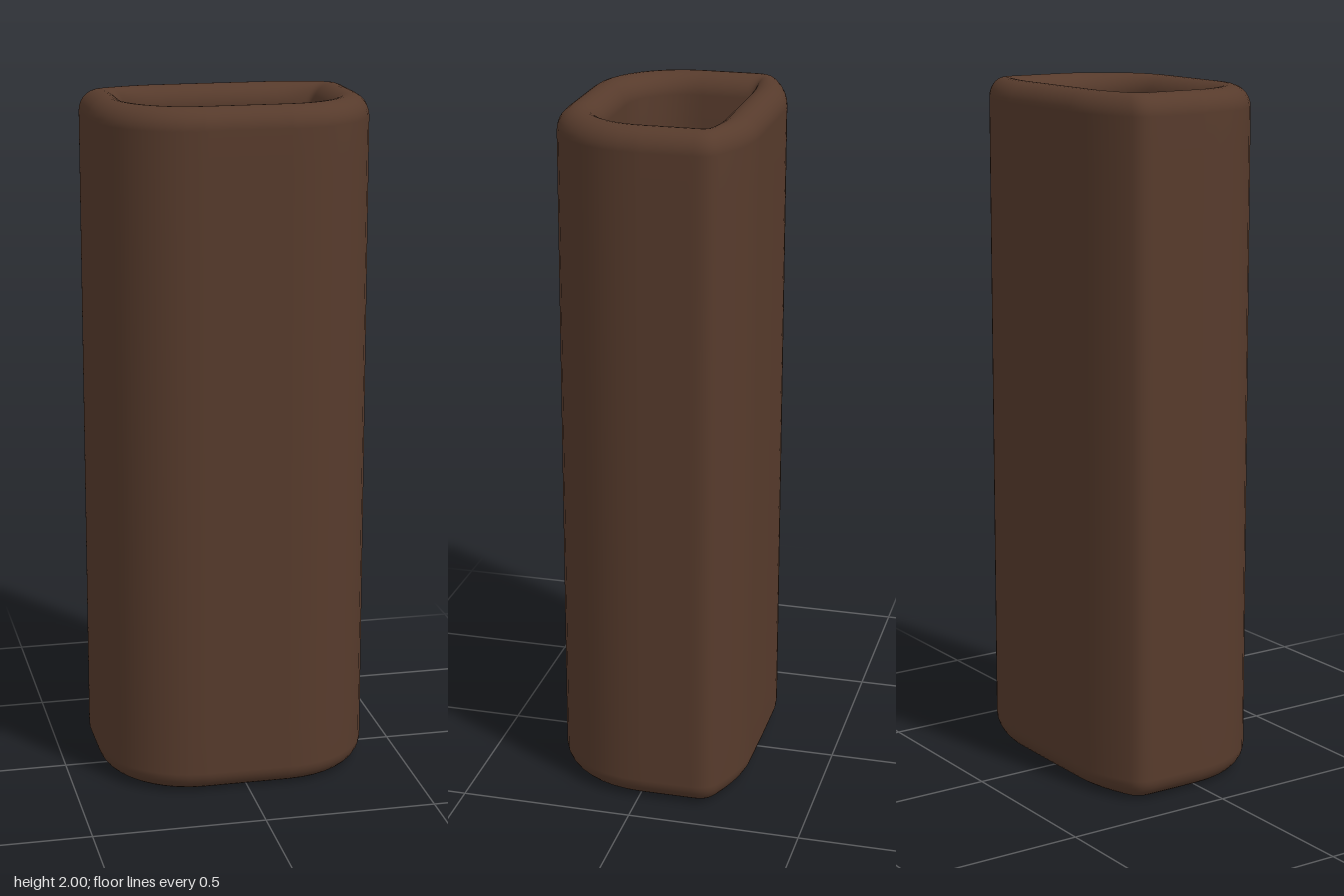
import * as THREE from 'three';

const V = (x, z) => new THREE.Vector2(x, z);

// Right half of an outline (back centre to front centre) as chained cubics, mirrored into a loop.
function outline(segments) {
  const half = [];
  for (const [a, b, c, d] of segments) {
    const curve = new THREE.CubicBezierCurve(V(...a), V(...b), V(...c), V(...d));
    for (let i = 0; i < 10; i++) half.push(curve.getPoint(i / 10));
  }
  const last = segments[segments.length - 1][3];
  half.push(V(...last));
  const mirrored = half.slice(1, -1).reverse().map(p => V(-p.x, p.y));
  return half.concat(mirrored);
}

const line = (a, b) => [a,
  [a[0] + (b[0] - a[0]) / 3, a[1] + (b[1] - a[1]) / 3],
  [a[0] + (b[0] - a[0]) * 2 / 3, a[1] + (b[1] - a[1]) * 2 / 3], b];

// Thick D-shaped tube: the wall section runs up the outside, over the rim, down the inside and under.
function tubeGeometry() {
  const outer = outline([
    line([0, -0.287], [0.17, -0.286]),
    [[0.17, -0.286], [0.25, -0.282], [0.33, -0.25], [0.37, -0.225]],
    [[0.37, -0.225], [0.39, -0.212], [0.4, -0.195], [0.4, -0.16]],
    line([0.4, -0.16], [0.4, 0]),
    [[0.4, 0], [0.4, 0.16], [0.28, 0.285], [0.13, 0.285]],
    line([0.13, 0.285], [0, 0.285]),
  ]);
  const inner = outline([
    line([0, -0.172], [0.17, -0.172]),
    line([0.17, -0.172], [0.265, -0.172]),
    [[0.265, -0.172], [0.278, -0.172], [0.285, -0.165], [0.285, -0.15]],
    line([0.285, -0.15], [0.285, 0]),
    [[0.285, 0], [0.285, 0.09], [0.21, 0.165], [0.12, 0.165]],
    line([0.12, 0.165], [0, 0.165]),
  ]);

  const r = 0.06, steps = 14, rows = 16, section = [];
  for (let i = 0; i < rows; i++) section.push([1, r + (2 - 2 * r) * i / rows]);
  for (let i = 0; i < steps; i++) {
    const t = Math.PI * i / steps;
    section.push([0.5 + 0.5 * Math.cos(t), 2 - r + r * Math.sin(t)]);
  }
  for (let i = 0; i < rows; i++) section.push([0, 2 - r - (2 - 2 * r) * i / rows]);
  for (let i = 0; i < steps; i++) {
    const t = Math.PI * i / steps;
    section.push([0.5 - 0.5 * Math.cos(t), r - r * Math.sin(t)]);
  }

  const n = outer.length, m = section.length, positions = [], index = [];
  for (const [w, y] of section) {
    for (let j = 0; j < n; j++) {
      const p = inner[j].clone().lerp(outer[j], w);
      positions.push(p.x, y, p.y);
    }
  }
  for (let i = 0; i < m; i++) {
    for (let j = 0; j < n; j++) {
      const k = (j + 1) % n, u = ((i + 1) % m) * n, b = i * n;
      index.push(b + j, u + j, b + k, b + k, u + j, u + k);
    }
  }
  const geometry = new THREE.BufferGeometry();
  geometry.setAttribute('position', new THREE.Float32BufferAttribute(positions, 3));
  geometry.setIndex(index);
  geometry.computeVertexNormals();
  return geometry;
}

export function createModel() {
  const group = new THREE.Group();
  const material = new THREE.MeshStandardMaterial({ color: 0x573b2c });

  const shell = new THREE.Mesh(tubeGeometry(), material);
  shell.name = 'hollowShell';
  group.add(shell);

  // Pointed burrs inside the corners: [tip x, tip z]
  const spikes = new THREE.Group();
  spikes.name = 'innerSpikes';
  const addRow = (tips, wallZ) => tips.forEach(([x, tipZ], i) => {
    const length = Math.abs(tipZ - wallZ);
    const geometry = new THREE.ConeGeometry(0.02, length, 10, 1, true);
    geometry.rotateX(wallZ < 0 ? Math.PI / 2 : -Math.PI / 2);
    geometry.scale(1, 1.5, 1);
    const spike = new THREE.Mesh(geometry, material);
    spike.name = 'spike';
    spike.position.set(x, 0.5 + 0.27 * ((i * 2) % 5), (tipZ + wallZ) / 2);
    spikes.add(spike);
  });
  addRow([[-0.255, 0.03], [-0.238, 0.01], [-0.222, 0.015], [-0.2, -0.04]], -0.18);
  addRow([[0.18, -0.085], [0.203, -0.03], [0.22, 0], [0.25, 0], [0.265, -0.05]], -0.18);
  addRow([[-0.16, 0.02], [-0.182, 0], [-0.202, 0.02], [-0.222, 0.08]], 0.17);
  addRow([[0.138, 0.02], [0.16, 0.01], [0.18, -0.02], [0.2, -0.01], [0.22, 0.08]], 0.17);
  group.add(spikes);

  return group;
}
